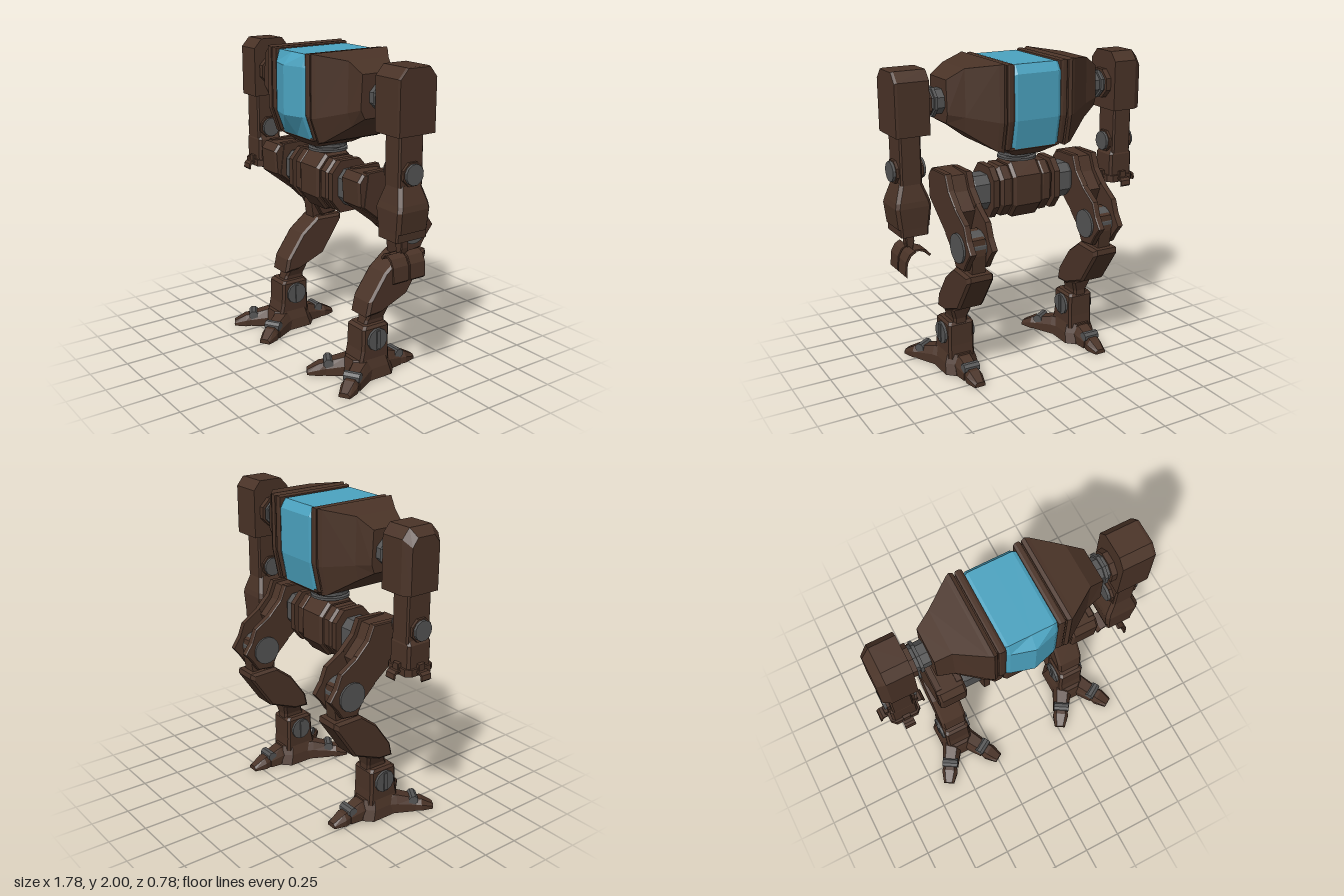
import * as THREE from 'three';

const brown = new THREE.MeshStandardMaterial({ color: 0x4a3327 });
brown.name = 'brownArmour';
const gray = new THREE.MeshStandardMaterial({ color: 0x555555 });
gray.name = 'grayJoint';
const blue = new THREE.MeshStandardMaterial({ color: 0x4ba3c0 });
blue.name = 'blueGlass';

function add(parent, name, geo, mat) {
  if (geo.index) geo = geo.toNonIndexed();
  geo.computeVertexNormals();
  const mesh = new THREE.Mesh(geo, mat);
  mesh.name = name;
  parent.add(mesh);
  return mesh;
}

// Faceted solid through cross-sections (lists of [x, y, z]), capped at both ends
function loft(parent, name, secs, mat = brown) {
  const n = secs[0].length, tris = [];
  for (let i = 0; i + 1 < secs.length; i++) for (let j = 0; j < n; j++) {
    const k = (j + 1) % n, a = secs[i], b = secs[i + 1];
    tris.push([a[j], a[k], b[k]], [a[j], b[k], b[j]]);
  }
  const mid = s => [0, 1, 2].map(c => s.reduce((t, p) => t + p[c], 0) / n);
  const first = secs[0], last = secs[secs.length - 1];
  for (let j = 0; j < n; j++) {
    const k = (j + 1) % n;
    tris.push([mid(first), first[k], first[j]], [mid(last), last[j], last[k]]);
  }
  // Turn the faces outward whichever way the sections run
  const v = p => new THREE.Vector3(...p), o = v(mid(first));
  const vol = tris.reduce((t, [a, b, c]) => t + v(a).sub(o).dot(v(b).sub(o).cross(v(c).sub(o))), 0);
  if (vol < 0) tris.forEach(t => t.reverse());
  const geo = new THREE.BufferGeometry();
  geo.setAttribute('position', new THREE.Float32BufferAttribute(tris.flat(2), 3));
  return add(parent, name, geo, mat);
}

// Side profile of [z, y] points swept along x; stations are [x, scale]
function slab(parent, name, profile, stations, mat) {
  const cz = profile.reduce((t, p) => t + p[0], 0) / profile.length;
  const cy = profile.reduce((t, p) => t + p[1], 0) / profile.length;
  return loft(parent, name, stations.map(([x, s]) =>
    profile.map(([z, y]) => [x, cy + (y - cy) * s, cz + (z - cz) * s])), mat);
}

// Upright chamfered block; rows are [y, halfWidth, zBack, zFront]
function tower(parent, name, rows, mat, c = 0.02) {
  return loft(parent, name, rows.map(([y, h, a, b]) => [
    [h, y, a + c], [h, y, b - c], [h - c, y, b], [c - h, y, b],
    [-h, y, b - c], [-h, y, a + c], [c - h, y, a], [h - c, y, a]]), mat);
}

// Drum lying along x
function drum(parent, name, r, x0, x1, y, z, mat = gray, sides = 12) {
  const m = add(parent, name, new THREE.CylinderGeometry(r, r, Math.abs(x1 - x0), sides), mat);
  m.geometry.rotateY(Math.PI / sides).rotateZ(Math.PI / 2);
  m.position.set((x0 + x1) / 2, y, z);
  return m;
}

// Thin bent strip through [x, y] points
function strip(parent, name, path, z0, z1, s = 1, t = 0.011) {
  return loft(parent, name, path.map(([x, y]) => [
    [s * x, y, z0], [s * x, y, z1], [s * (x + t), y + t, z1], [s * (x + t), y + t, z0]]));
}

function buildBody(root) {
  const body = new THREE.Group();
  body.name = 'body';
  root.add(body);
  // Glass canopy wrapping front, top and back, ridged at the front centre
  const glass = (x, s, bulge) => [[0.26, 1.47], [0.31 + bulge, 1.61], [0.31 + bulge, 1.91], [0.29, 1.985],
    [-0.2, 1.985], [-0.235, 1.93], [-0.235, 1.65], [-0.2, 1.47]]
    .map(([z, y]) => [x, 1.73 + (y - 1.73) * s, 0.04 + (z - 0.04) * s]);
  loft(body, 'canopy', [glass(-0.166, 0.96, 0), glass(-0.14, 1, 0.005), glass(0, 1, 0.045),
    glass(0.14, 1, 0.005), glass(0.166, 0.96, 0)], blue);
  tower(body, 'bellyPlate', [[1.405, 0.1, -0.11, 0.18], [1.465, 0.19, -0.2, 0.26], [1.48, 0.19, -0.2, 0.26]]);

  const rim = [[0.26, 1.465], [0.315, 1.62], [0.315, 2], [-0.24, 2], [-0.24, 1.65], [-0.2, 1.465]];
  const middle = [[0.16, 1.585], [0.19, 1.67], [0.185, 1.97], [-0.105, 1.97], [-0.11, 1.68], [-0.09, 1.585]];
  const end = [[0.14, 1.645], [0.17, 1.7], [0.16, 1.905], [-0.06, 1.905], [-0.07, 1.7], [-0.05, 1.645]];
  for (const s of [1, -1]) {
    slab(body, 'canopyFrame', rim, [[s * 0.16, 0.96], [s * 0.175, 0.98], [s * 0.195, 0.98], [s * 0.205, 0.96]]);
    slab(body, 'frameGap', rim, [[s * 0.2, 0.92], [s * 0.23, 0.92]]);
    const sec = (x, p) => p.map(([z, y]) => [s * x, y, z]);
    loft(body, 'sidePod', [sec(0.213, rim.map(([z, y]) => [z * 0.97, y - 0.012])), sec(0.235, rim),
      sec(0.26, rim.map(([z, y]) => [z * 0.95, 1.73 + (y - 1.73) * 0.98])), sec(0.425, middle), sec(0.525, end)]);
    drum(body, 'shoulderAxle', 0.08, s * 0.51, s * 0.67, 1.77, 0.035, gray, 8);
    drum(body, 'shoulderRing', 0.095, s * 0.575, s * 0.595, 1.77, 0.035, gray, 8);
    drum(body, 'shoulderCollar', 0.1, s * 0.615, s * 0.66, 1.77, 0.035, brown, 8);
  }

  // Waist turntable
  [[0.12, 1.395, 0.02], [0.09, 1.375, 0.05], [0.125, 1.365, 0.015], [0.08, 1.35, 0.05]].forEach(([r, y, h]) => {
    add(body, 'waistDisc', new THREE.CylinderGeometry(r, r, h, 16), gray).position.set(0, y, 0.03);
  });

  // Pelvis and hip axles
  const hip = [[0.11, 1.35], [-0.05, 1.35], [-0.12, 1.27], [-0.12, 1.08], [-0.05, 0.99], [0.11, 0.99], [0.18, 1.08], [0.18, 1.27]];
  slab(body, 'pelvis', hip, [[-0.105, 0.92], [-0.085, 1], [0.085, 1], [0.105, 0.92]]);
  for (const s of [1, -1]) {
    slab(body, 'hipPlate', hip, [[s * 0.1, 0.84], [s * 0.12, 0.9], [s * 0.165, 0.9], [s * 0.185, 0.8]]);
    slab(body, 'hipFlange', hip, [[s * 0.2, 0.91], [s * 0.24, 0.91]]);
    slab(body, 'hipAxle', hip, [[s * 0.1, 0.62], [s * 0.34, 0.62], [s * 0.375, 0.5]], gray);
  }
}

function buildArm(root, s) {
  const arm = new THREE.Group();
  arm.name = s > 0 ? 'leftArm' : 'rightArm';
  arm.position.x = s * 0.757;
  root.add(arm);
  const top = [[0.165, 1.6], [0.165, 1.92], [0.11, 1.98], [-0.05, 1.98], [-0.1, 1.92], [-0.1, 1.6]];
  const cut = s > 0 ? [0.09, 0.97] : [0.055, 0.76];
  const outer = top.map(([z, y]) => [s * 0.107, y > 1.7 ? 1.6 + (y - 1.6) * (s > 0 ? 0.99 : 0.87) : y, 0.033 + (z - 0.033) * cut[1]]);
  const plain = x => top.map(([z, y]) => [s * x, y, z]);
  loft(arm, 'shoulderArmour', [plain(-0.107), plain(cut[0]), outer]);
  tower(arm, 'upperArm', [[1.3, 0.068, -0.05, 0.125], [1.61, 0.068, -0.05, 0.125]], brown, 0.01);
  drum(arm, 'elbowAxle', 0.063, -0.105, 0.105, 1.375, 0.04);
  for (const e of [1, -1]) drum(arm, 'elbowCheek', 0.075, e * 0.07, e * 0.088, 1.375, 0.04, brown, 8);

  if (s > 0) {
    tower(arm, 'forearm', [[1.035, 0.1, -0.075, 0.15], [1.165, 0.115, -0.08, 0.155], [1.2, 0.108, -0.075, 0.145], [1.31, 0.07, -0.045, 0.12]]);
    tower(arm, 'wrist', [[0.985, 0.088, -0.075, 0.15], [1.1, 0.092, -0.075, 0.15]], brown, 0.01);
    tower(arm, 'claw stem', [[0.88, 0.018, 0.01, 0.065], [0.92, 0.028, 0.01, 0.065], [0.99, 0.028, 0.01, 0.065]], brown, 0.005);
    const finger = [[0, 0.885], [0.035, 0.865], [0.06, 0.82], [0.067, 0.73]];
    strip(arm, 'clawFinger', finger, 0.045, 0.155);
    strip(arm, 'clawFinger', finger, -0.08, 0.03);
    strip(arm, 'clawThumb', [[0, 0.865], [0.045, 0.865], [0.085, 0.85], [0.11, 0.82]], -0.02, 0.095, -1);
  } else {
    tower(arm, 'forearm', [[1.13, 0.085, -0.05, 0.125], [1.29, 0.085, -0.05, 0.125], [1.32, 0.065, -0.04, 0.115]], brown, 0.015);
    tower(arm, 'gripperPlate', [[1.105, 0.1, -0.065, 0.14], [1.15, 0.1, -0.065, 0.14]], brown, 0.03);
    tower(arm, 'gripperHub', [[1.08, 0.035, 0, 0.07], [1.11, 0.035, 0, 0.07]], brown, 0.01);
    // Four small fingers spread around the hand
    for (let i = 0; i < 4; i++) {
      const f = new THREE.Group();
      f.name = 'gripperFinger';
      f.position.z = 0.035;
      f.rotation.y = i * Math.PI / 2;
      arm.add(f);
      tower(f, 'fingerBase', [[1.11, 0.015, -0.025, 0.025], [1.175, 0.012, -0.025, 0.025]], brown, 0.004).position.x = 0.098;
      strip(f, 'fingerTip', [[0.09, 1.125], [0.12, 1.125], [0.135, 1.11], [0.14, 1.08]], -0.035, 0.035);
    }
  }
}

// Toe running along its own +z from the ankle
function buildToe(foot, angle, len) {
  const toe = new THREE.Group();
  toe.name = 'toe';
  toe.rotation.y = angle;
  foot.add(toe);
  const sec = (z, w, h) => [[-w, 0, z], [-w, h * 0.55, z], [-w * 0.6, h, z], [w * 0.6, h, z], [w, h * 0.55, z], [w, 0, z]];
  loft(toe, 'toeBase', [sec(0.02, 0.08, 0.125), sec(0.14, 0.065, 0.12), sec(len - 0.12, 0.055, 0.085)]);
  loft(toe, 'toeTip', [sec(len - 0.13, 0.045, 0.08), sec(len - 0.08, 0.055, 0.075), sec(len, 0.036, 0.03)]);
  drum(toe, 'toeJoint', 0.032, -0.053, 0.053, 0.078, len - 0.135, gray, 8);
}

function buildLeg(root, s) {
  const leg = new THREE.Group();
  leg.name = s > 0 ? 'leftLeg' : 'rightLeg';
  leg.position.x = s * 0.455;
  root.add(leg);
  // Thigh core between two side plates that end as a knee fork
  slab(leg, 'thigh', [[0.16, 1.325], [-0.04, 1.315], [-0.08, 1.22], [-0.17, 1.12], [-0.09, 0.93], [-0.04, 0.955], [0.185, 1.13], [0.195, 1.28]],
    [[-0.09, 0.94], [-0.075, 1], [0.075, 1], [0.09, 0.94]]);
  for (const e of [1, -1]) {
    slab(leg, 'thighPlate', [[0.13, 1.33], [-0.06, 1.335], [-0.1, 1.24], [-0.18, 1.16], [-0.06, 0.945], [0.16, 1.12]],
      [[e * 0.05, 1], [e * 0.085, 1], [e * 0.092, 0.96]]);
    slab(leg, 'kneeFork', [[-0.1, 1.235], [-0.19, 1.15], [-0.3, 1.08], [-0.335, 0.99], [-0.385, 0.92], [-0.335, 0.86],
      [-0.29, 0.79], [-0.18, 0.78], [-0.13, 0.87], [-0.04, 0.955]], [[e * 0.052, 1], [e * 0.085, 1], [e * 0.092, 0.96]]);
  }
  drum(leg, 'kneeAxle', 0.093, -0.105, 0.105, 0.92, -0.225, gray, 16);
  slab(leg, 'kneeBlock', [[-0.13, 0.97], [-0.2, 1.02], [-0.31, 0.98], [-0.32, 0.88], [-0.3, 0.72], [-0.14, 0.72], [-0.12, 0.87]],
    [[-0.045, 1], [0.045, 1]]);
  // Shin
  slab(leg, 'shin', [[-0.15, 0.77], [-0.34, 0.765], [-0.345, 0.73], [-0.19, 0.5], [0.02, 0.415], [0.12, 0.41], [0.1, 0.5], [-0.02, 0.67]],
    [[-0.09, 0.9], [-0.072, 1], [0.072, 1], [0.09, 0.9]]);
  // Ankle
  tower(leg, 'ankleNeck', [[0.33, 0.048, -0.05, 0.11], [0.37, 0.048, -0.05, 0.095], [0.44, 0.072, -0.07, 0.07]], brown, 0.015);
  tower(leg, 'ankle', [[0.1, 0.09, -0.06, 0.17], [0.19, 0.09, -0.055, 0.15], [0.33, 0.088, -0.055, 0.145], [0.348, 0.075, -0.04, 0.125]], brown, 0.015);
  drum(leg, 'ankleAxle', 0.073, -0.105, 0.105, 0.255, 0.045);
  for (const e of [1, -1]) {
    add(leg, 'ankleBar', new THREE.BoxGeometry(0.008, 0.12, 0.025), gray).position.set(e * 0.108, 0.255, 0.045);
  }
  // Foot: two splayed front toes and one heel toe
  const foot = new THREE.Group();
  foot.name = 'foot';
  foot.position.z = 0.045;
  leg.add(foot);
  tower(foot, 'footBlock', [[0, 0.12, -0.15, 0.17], [0.07, 0.11, -0.13, 0.16], [0.13, 0.09, -0.12, 0.145]], brown, 0.05);
  buildToe(foot, 0.55, 0.385);
  buildToe(foot, -0.55, 0.385);
  buildToe(foot, Math.PI, 0.35);
}

export function createModel() {
  const model = new THREE.Group();
  model.name = 'walkerRobot';
  const root = new THREE.Group();
  root.name = 'robot';
  root.position.x = 0.01;
  model.add(root);
  buildBody(root);
  for (const s of [1, -1]) {
    buildArm(root, s);
    buildLeg(root, s);
  }
  return model;
}
